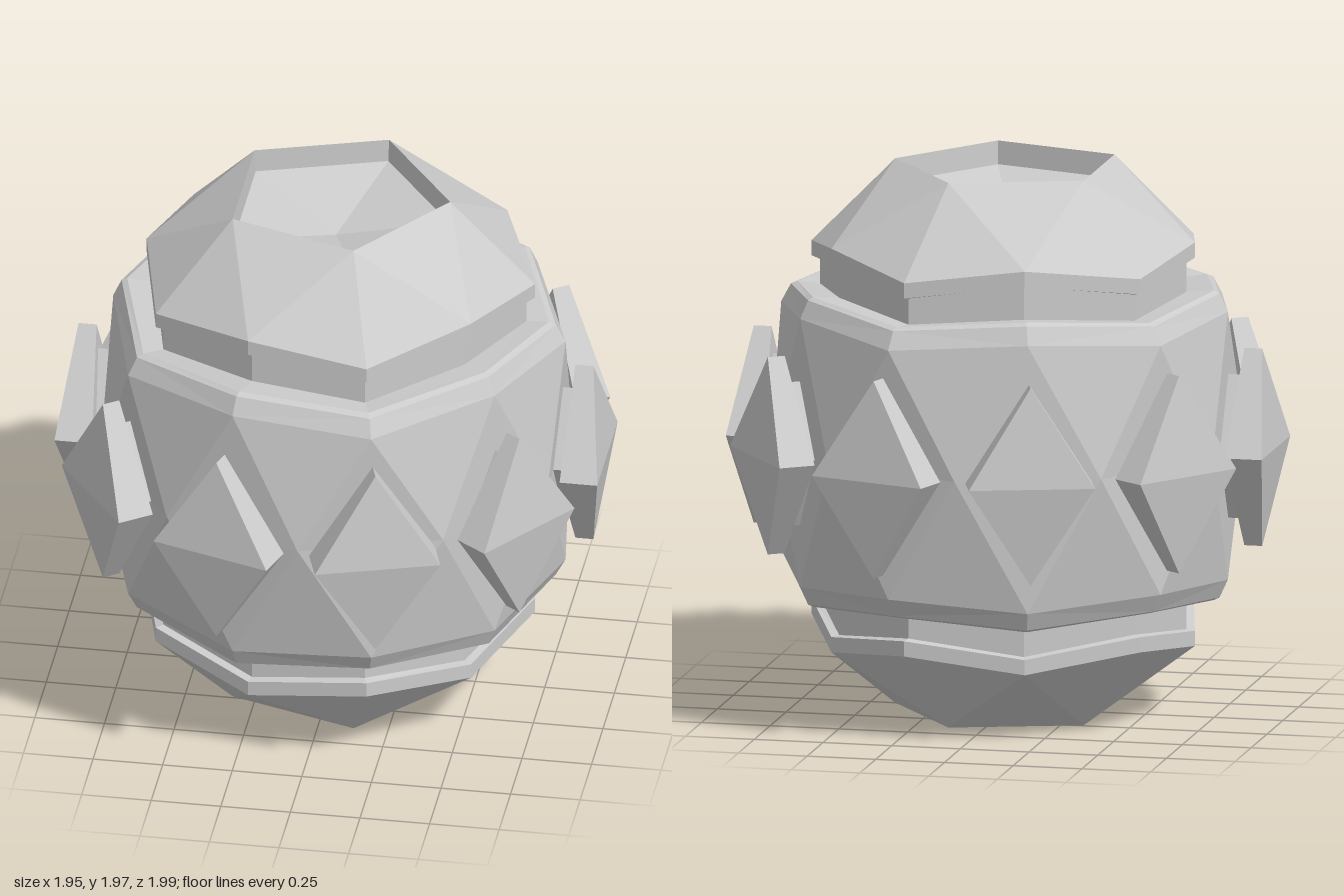
import * as THREE from 'three';

const MID = 0.985;   // height of the equator
const N = 10;        // sides of the body
const STEP = Math.PI / 5;
const material = new THREE.MeshStandardMaterial({ color: 0xcccccc, flatShading: true });

// Ten-point ring whose even and odd corners differ in radius and height above the equator
function ring(evenR, oddR, evenY, oddY = evenY, turn = 0) {
  return Array.from({ length: N }, (_, i) => {
    const a = i * STEP + turn;
    const r = i % 2 ? oddR : evenR;
    return [r * Math.cos(a), i % 2 ? oddY : evenY, r * Math.sin(a)];
  });
}
const pentagon = (r, y) => ring(r, r * Math.cos(STEP), y);

function meshFrom(name, positions) {
  const g = new THREE.BufferGeometry();
  g.setAttribute('position', new THREE.Float32BufferAttribute(positions, 3));
  g.computeVertexNormals();
  const mesh = new THREE.Mesh(g, material);
  mesh.name = name;
  return mesh;
}

// Skin successive rings; side = 1 is the upper half, -1 its mirror image
function skin(name, rings, side, alternate = true) {
  const pos = [];
  const tri = (a, b, c) => {
    for (const p of side > 0 ? [a, b, c] : [a, c, b]) pos.push(p[0], MID + side * p[1], p[2]);
  };
  for (let k = 0; k + 1 < rings.length; k++) {
    const t = rings[k], b = rings[k + 1];
    for (let i = 0; i < N; i++) {
      const j = (i + 1) % N;
      if (alternate && i % 2 === 0) {
        tri(t[i], t[j], b[j]);
        tri(t[i], b[j], b[i]);
      } else {
        tri(t[i], t[j], b[i]);
        tri(t[j], b[j], b[i]);
      }
    }
  }
  return meshFrom(name, pos);
}

// Diamond block from inner to outer radius, pointing along +x
function diamond(name, halfW, halfH, inTip, inMid, outTip, outMid) {
  const corners = (tip, mid) => [[tip, halfH, 0], [mid, 0, -halfW], [tip, -halfH, 0], [mid, 0, halfW]];
  const inner = corners(inTip, inMid), outer = corners(outTip, outMid);
  const pos = [];
  const tri = (...pts) => pts.forEach(p => pos.push(...p));
  tri(outer[0], outer[3], outer[1]);
  tri(outer[1], outer[3], outer[2]);
  tri(inner[0], inner[1], inner[3]);
  tri(inner[1], inner[2], inner[3]);
  for (let i = 0; i < 4; i++) {
    const j = (i + 1) % 4;
    tri(outer[i], outer[j], inner[j]);
    tri(outer[i], inner[j], inner[i]);
  }
  return meshFrom(name, pos);
}

export function createModel() {
  const model = new THREE.Group();
  model.name = 'facetedCapsule';

  for (const side of [1, -1]) {
    const half = side > 0 ? 'upper' : 'lower';
    // Faceted cap with a recessed pentagon and an overhanging zigzag lip
    model.add(skin(half + 'Cap', [
      pentagon(0, 0.81),
      pentagon(0.405, 0.90),
      pentagon(0.41, 0.985),
      ring(0.715, 0.68, 0.675, 0.73),
      ring(0.715, 0.68, 0.62, 0.675),
      ring(0.685, 0.65, 0.615, 0.67),
    ], side));
    // Recessed neck
    model.add(skin(half + 'Neck', [
      ring(0.685, 0.65, 0.62, 0.675),
      ring(0.685, 0.65, 0.48, 0.52),
    ], side));
    // Bevelled shoulder of the body
    model.add(skin(half + 'Shoulder', [
      ring(0.68, 0.645, 0.52, 0.55),
      ring(0.765, 0.75, 0.525, 0.56),
      ring(0.79, 0.77, 0.515, 0.55),
      ring(0.825, 0.80, 0.45, 0.485),
    ], side));
    // Triangulated body wall down to the equator
    model.add(skin(half + 'Body', [
      ring(0.825, 0.80, 0.45, 0.485),
      ring(0.845, 0.845, 0, 0, STEP / 2),
    ], side, false));
  }

  // Ten diamond plates on stems around the equator
  for (let i = 0; i < N; i++) {
    const plate = new THREE.Group();
    plate.name = 'diamondPlate' + (i + 1);
    plate.add(diamond('plate', 0.225, 0.357, 0.86, 0.84, 0.925, 0.975));
    plate.add(diamond('stem', 0.14, 0.26, 0.76, 0.76, 0.88, 0.88));
    plate.rotation.y = i * STEP;
    plate.position.y = MID;
    model.add(plate);
  }
  return model;
}
